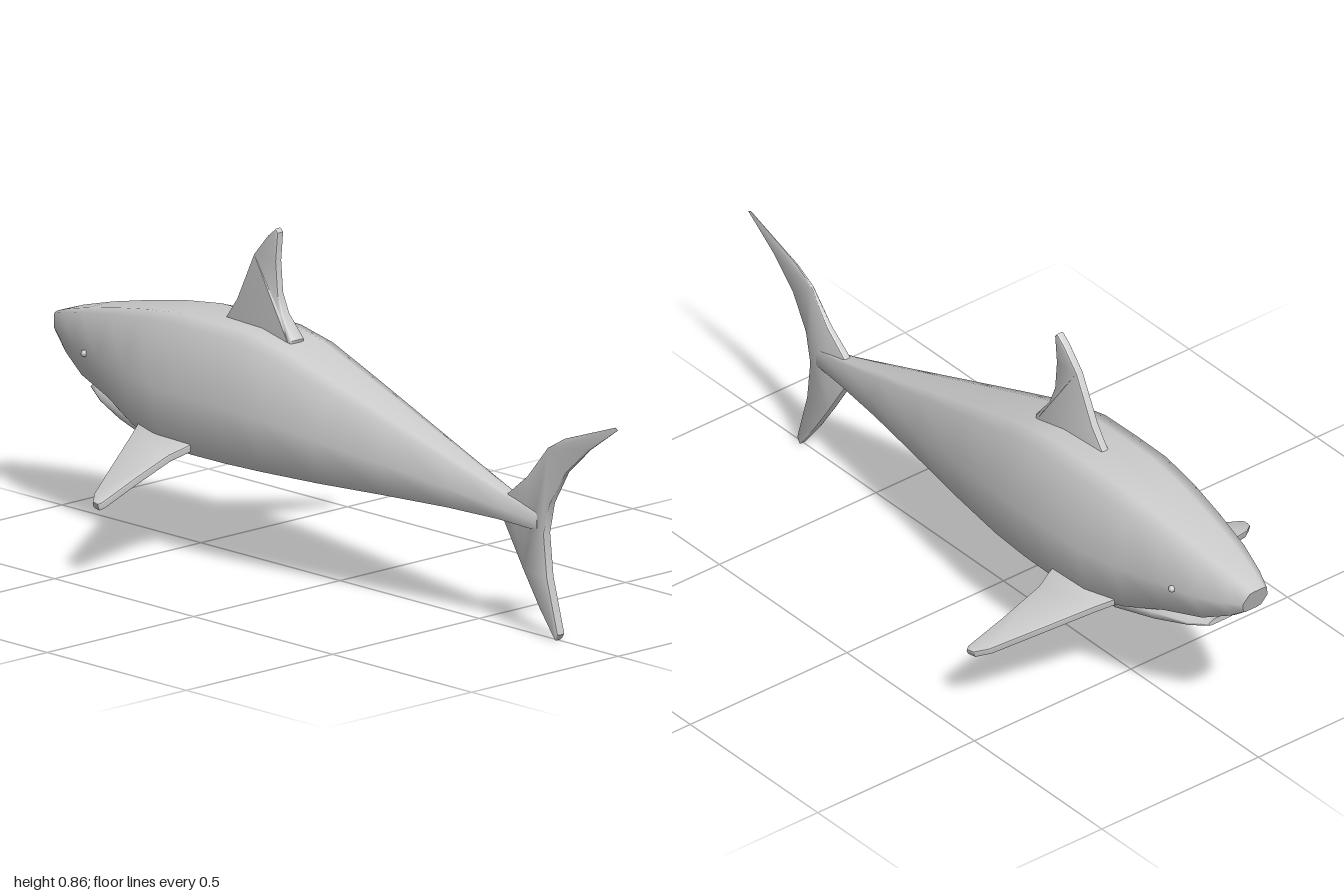
import * as THREE from 'three';
import { toCreasedNormals } from 'three/addons/utils/BufferGeometryUtils.js';

const material = new THREE.MeshStandardMaterial({ color: 0xcccccc, side: THREE.DoubleSide });

// Half cross-section: fraction of half width, fraction of height (top to bottom)
const HALF = [[0, 1], [0.42, 1], [0.68, 0.955], [1, 0.49], [0.88, 0.05], [0.5, 0], [0, 0]];
const RING = [...HALF, ...HALF.slice(1, -1).reverse().map(([z, y]) => [-z, y])];

// Skin rings given as [x, top, bottom, halfWidth, bellyWidth = 1, lean = 0]
function loft(stations) {
  const n = RING.length, pos = [], index = [];
  const addRing = ([x, top, bottom, w, belly = 1, lean = 0]) => {
    for (const [z, y] of RING) {
      pos.push(x + lean * (1 - y), bottom + (top - bottom) * y, z * w * (y < 0.3 ? belly : 1));
    }
  };
  stations.forEach(addRing);
  for (let i = 0; i < stations.length - 1; i++) {
    for (let j = 0; j < n; j++) {
      const a = i * n + j, b = i * n + (j + 1) % n;
      index.push(a, b, b + n, a, b + n, a + n);
    }
  }
  // End caps with their own corners, so that their rims stay sharp
  const first = stations.length * n, last = first + n;
  addRing(stations[0]);
  addRing(stations[stations.length - 1]);
  for (let j = 1; j < n - 1; j++) {
    index.push(first, first + j + 1, first + j, last, last + j, last + j + 1);
  }
  const g = new THREE.BufferGeometry();
  g.setAttribute('position', new THREE.Float32BufferAttribute(pos, 3));
  g.setIndex(index);
  g.computeVertexNormals();
  return g;
}

// Flat plate with rounded rim; thickness(x, y) is its local half thickness
function fin(outline, thickness) {
  const shape = new THREE.Shape(outline.map(([x, y]) => new THREE.Vector2(x, y)));
  const g = new THREE.ExtrudeGeometry(shape, {
    depth: 1, bevelEnabled: true, bevelThickness: 0.5, bevelSize: 0.005,
    bevelOffset: -0.005, bevelSegments: 2,
  });
  g.translate(0, 0, -0.5);
  const p = g.attributes.position;
  for (let i = 0; i < p.count; i++) p.setZ(i, p.getZ(i) * thickness(p.getX(i), p.getY(i)));
  return toCreasedNormals(g, 0.7);
}

export function createModel() {
  const model = new THREE.Group();
  const add = (name, geometry) => {
    const mesh = new THREE.Mesh(geometry, material);
    mesh.name = name;
    model.add(mesh);
    return mesh;
  };

  // Body from snout to tail root
  add('body', loft([
    [-1.0, 0.505, 0.435, 0.04, 0.8, 0.025],
    [-0.95, 0.522, 0.41, 0.066, 0.75, 0.01],
    [-0.86, 0.545, 0.368, 0.1, 0.75],
    [-0.74, 0.57, 0.335, 0.128, 0.8],
    [-0.62, 0.591, 0.292, 0.152, 0.9],
    [-0.5, 0.605, 0.27, 0.167],
    [-0.38, 0.605, 0.264, 0.17],
    [-0.26, 0.604, 0.264, 0.168],
    [-0.14, 0.582, 0.266, 0.159],
    [0.04, 0.526, 0.269, 0.13],
    [0.24, 0.463, 0.276, 0.095],
    [0.44, 0.4, 0.281, 0.06],
    [0.6, 0.35, 0.28, 0.034],
    [0.72, 0.32, 0.272, 0.013],
  ]));

  // Lower jaw, parted from the snout by a narrow mouth
  add('lowerJaw', loft([
    [-0.855, 0.352, 0.336, 0.04],
    [-0.8, 0.344, 0.318, 0.066],
    [-0.7, 0.355, 0.296, 0.1],
    [-0.58, 0.35, 0.277, 0.13],
    [-0.5, 0.34, 0.272, 0.13],
  ]));

  // Dorsal fin, flaring at its base towards the rear
  add('dorsalFin', fin([
    [-0.41, 0.585], [-0.4, 0.605], [-0.36, 0.66], [-0.3, 0.785], [-0.25, 0.842], [-0.222, 0.865],
    [-0.213, 0.855], [-0.22, 0.78], [-0.213, 0.7], [-0.195, 0.65], [-0.15, 0.592], [-0.155, 0.575],
  ], (x, y) => {
    const flare = THREE.MathUtils.clamp((0.68 - y) / 0.1, 0, 1);
    return 0.011 + 0.014 * flare * THREE.MathUtils.clamp((x + 0.4) / 0.22, 0, 1);
  }));

  // Tail fin, its upper lobe thinning to the tip
  add('tailFin', fin([
    [0.595, 0.285], [0.61, 0.347], [0.68, 0.405], [0.75, 0.49], [0.81, 0.525], [0.99, 0.588],
    [1.0, 0.583], [0.9, 0.513], [0.82, 0.44], [0.765, 0.35], [0.745, 0.27], [0.757, 0.16],
    [0.796, 0.02], [0.785, 0.004], [0.73, 0.075], [0.67, 0.165],
  ], (x, y) => 0.0135 * (1 - 0.92 * THREE.MathUtils.clamp((y - 0.28) / 0.3, 0, 1))));

  // Pectoral fins and eyes on both sides
  const pectoral = fin([
    [-0.6, -0.02], [-0.57, 0.04], [-0.51, 0.17], [-0.452, 0.295], [-0.425, 0.328], [-0.402, 0.332],
    [-0.396, 0.32], [-0.398, 0.2], [-0.395, 0.08], [-0.38, 0.035], [-0.368, -0.02],
  ], () => 0.0105);
  for (const side of [1, -1]) {
    const label = side > 0 ? 'left' : 'right';
    const p = add(label + 'PectoralFin', pectoral);
    p.position.set(0, 0.305, side * 0.13);
    p.rotation.x = side * (Math.PI / 2 + 0.34);

    const eye = add(label + 'Eye', new THREE.SphereGeometry(0.009, 12, 8));
    eye.position.set(-0.8, 0.452, side * 0.114);
  }
  return model;
}
